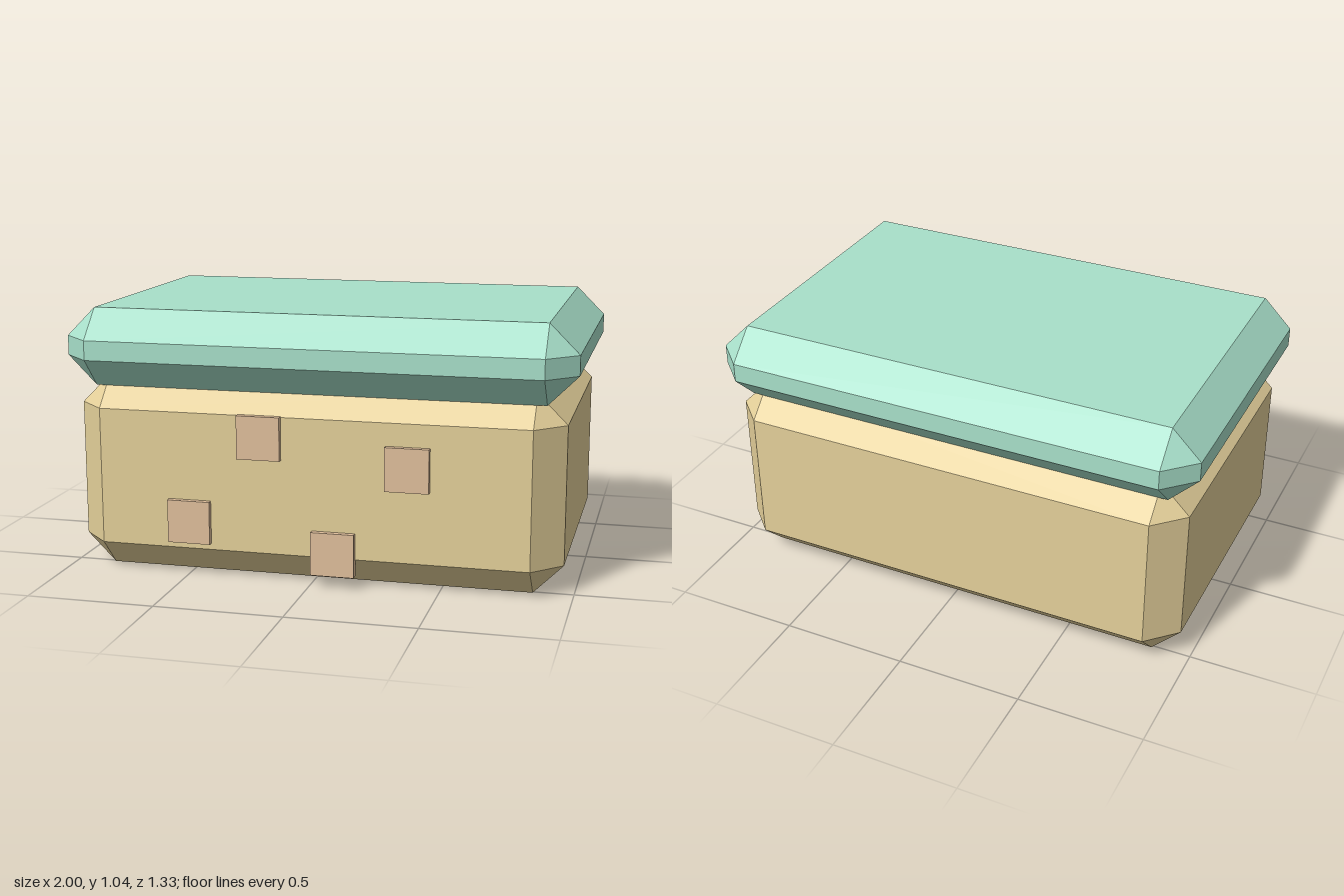
import * as THREE from 'three';
import { ConvexGeometry } from 'three/addons/geometries/ConvexGeometry.js';

// Box with every edge cut at 45 degrees and triangular corners
function chamferedBox(w, h, d, c) {
  const points = [];
  for (const sx of [-1, 1]) for (const sy of [-1, 1]) for (const sz of [-1, 1]) {
    const x = w / 2, y = h / 2, z = d / 2;
    points.push(
      new THREE.Vector3(sx * x, sy * (y - c), sz * (z - c)),
      new THREE.Vector3(sx * (x - c), sy * y, sz * (z - c)),
      new THREE.Vector3(sx * (x - c), sy * (y - c), sz * z)
    );
  }
  return new ConvexGeometry(points);
}

export function createModel() {
  const makeMaterial = (name, color) => {
    const m = new THREE.MeshStandardMaterial({ color });
    m.name = name;
    return m;
  };
  const sand = makeMaterial('sand', 0xe4d09a);
  const mint = makeMaterial('mint', 0xa8e0ca);
  const blush = makeMaterial('blush', 0xe0bf9c);

  const model = new THREE.Group();
  model.name = 'chest';
  const add = (name, geometry, material, x, y, z) => {
    const mesh = new THREE.Mesh(geometry, material);
    mesh.name = name;
    mesh.position.set(x, y, z);
    model.add(mesh);
  };

  // Body reaches slightly into the overhanging lid
  add('body', chamferedBox(1.92, 0.77, 1.25, 0.115), sand, 0, 0.385, 0);
  add('lid', chamferedBox(2, 0.307, 1.326, 0.115), mint, 0, 0.8865, 0);

  // Square tiles scattered over the front
  const tile = new THREE.BoxGeometry(0.17, 0.17, 0.038);
  [[-0.197, 0.573], [0.38, 0.481], [-0.481, 0.225], [0.093, 0.133]].forEach(([x, y], i) =>
    add('frontTile' + (i + 1), tile, blush, x, y, 0.629));

  return model;
}
